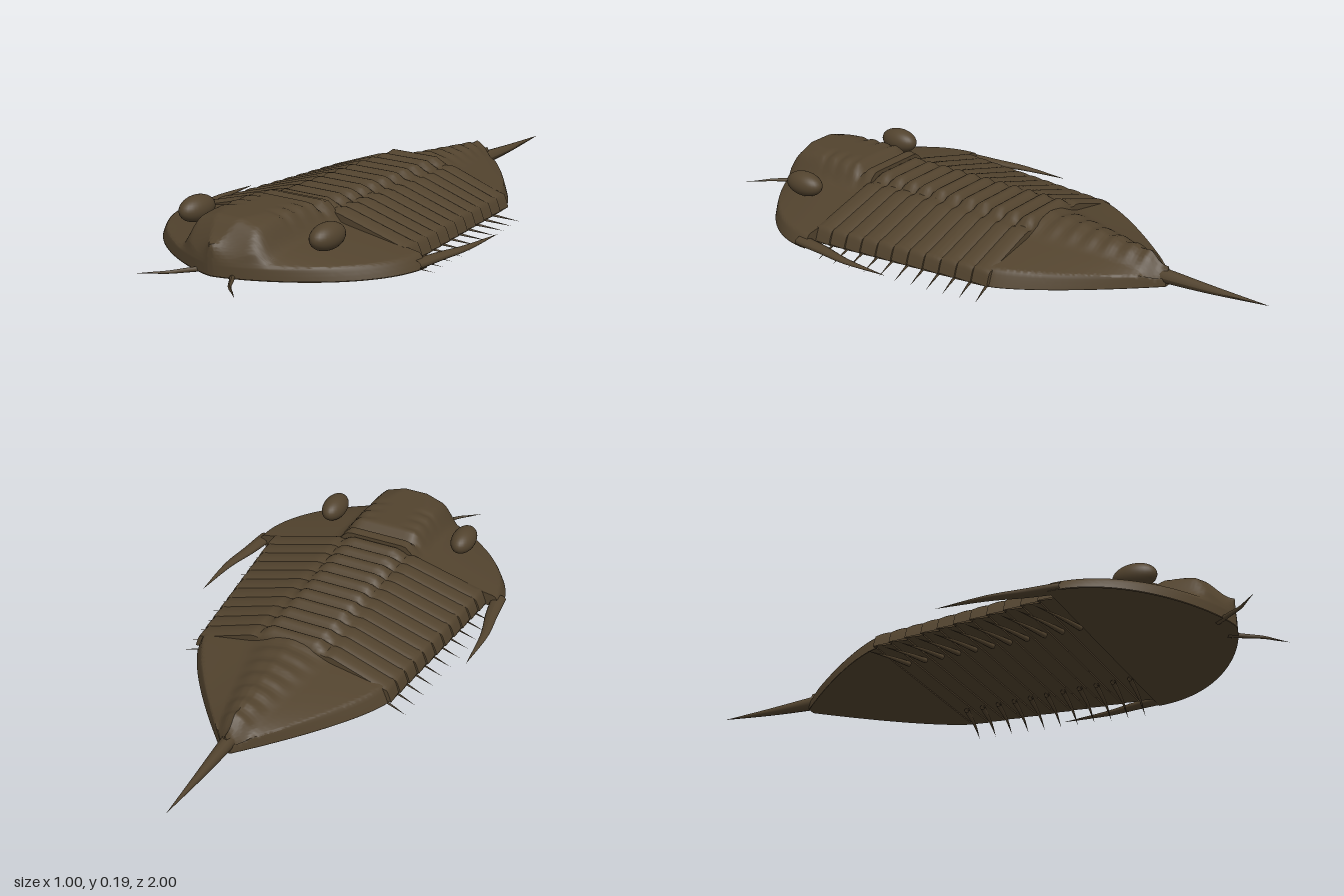
import * as THREE from 'three';
import { mergeGeometries, toCreasedNormals } from 'three/addons/utils/BufferGeometryUtils.js';

const shellBrown = new THREE.MeshStandardMaterial({ color: 0x52432e, side: THREE.DoubleSide });
shellBrown.name = 'shellBrown';

const { lerp, smoothstep, clamp } = THREE.MathUtils;
// Smooth fall from 1 (below a) to 0 (above b)
const fall = (x, a, b) => 1 - smoothstep(x, a, b);

function part(name, geometry, parent) {
  const mesh = new THREE.Mesh(geometry, shellBrown);
  mesh.name = name;
  parent.add(mesh);
  return mesh;
}

// Closed plate: rule(s, v) gives the top as [x, y, z], s running -1..1 across and
// v 0..1 front to back; base(v) gives the height of the underside
function plate(columns, rows, rule, base) {
  const sheet = (mirror, under) => {
    const geo = new THREE.PlaneGeometry(2, 2, columns, rows + 2);
    const p = geo.attributes.position;
    for (let i = 0; i < p.count; i++) {
      const s = mirror * Math.sin(p.getX(i) * Math.PI / 2);
      const row = rows + 1 - Math.floor(i / (columns + 1));
      const v = clamp(row / rows, 0, 1);
      const [x, y, z] = rule(s, v);
      const wall = row < 0 || row > rows; // end rows drop to the underside
      p.setXYZ(i, x, under || wall ? base(v) : y, z);
    }
    return geo;
  };
  return toCreasedNormals(mergeGeometries([sheet(1, false), sheet(-1, true)]), 0.8);
}

// Curved tube that tapers to a point
function spike(points, radius, rows = 12, sides = 10, power = 1, flat = 1) {
  const curve = new THREE.CatmullRomCurve3(points.map(a => new THREE.Vector3(...a)));
  const geo = new THREE.TubeGeometry(curve, rows, radius, sides);
  const p = geo.attributes.position;
  const v = new THREE.Vector3();
  for (let i = 0; i < p.count; i++) {
    const t = Math.floor(i / (sides + 1)) / rows;
    const c = curve.getPointAt(t);
    v.fromBufferAttribute(p, i).sub(c).multiplyScalar(1 - t ** power);
    v.y *= flat;
    v.add(c);
    p.setXYZ(i, v.x, v.y, v.z);
  }
  geo.computeVertexNormals();
  return geo;
}

// Head shield with raised central lobe
function headRule(s, v) {
  const q = 1 - v ** 1.6, z = 0.455 + 0.43 * q;
  const w = 0.472 * (1 - q * q) ** 0.75, a = Math.abs(s), x = w * s, ax = Math.abs(x);
  let y = lerp(0.13, 0.075, Math.max(0, (a - 0.2) / 0.74));
  if (a > 0.94) y = lerp(0.075, 0.034, ((a - 0.94) / 0.06) ** 1.5);
  let lobe = 0.064 * fall(ax, 0.105, 0.17) * fall(z, 0.79, 0.88);
  // Side furrows and the groove in front of the neck ring
  for (const f of [0.565, 0.62, 0.675])
    lobe -= 0.007 * Math.exp(-(((z - f) / 0.013) ** 2)) * smoothstep(ax, 0.04, 0.09) * fall(ax, 0.11, 0.15);
  lobe -= 0.03 * Math.exp(-(((z - 0.51) / 0.018) ** 2)) * fall(ax, 0.1, 0.16);
  lobe -= 0.014 * fall(z, 0.46, 0.5) * fall(ax, 0.1, 0.16);
  return [x, y + lobe * fall(a, 0.8, 0.95), z];
}

const SEGMENTS = 11, PITCH = 0.06;
const bodyWidth = z => 0.352 + 0.105 * (z + 0.2);

// One body ring: axial bump, groove, sloping side plates, turned-down edge
function ringRule(z0) {
  return (s, v) => {
    const z = z0 + 0.004 - 0.067 * v;
    const w = bodyWidth(z0 - 0.03), a = Math.abs(s), x = w * s, ax = Math.abs(x);
    const arch = Math.sin(Math.PI * v) ** 0.7;
    const axis = fall(ax, 0.085, 0.12);
    let y = lerp(0.16, 0.088, Math.max(0, (ax - 0.13) / (0.95 * w - 0.13)));
    if (a > 0.95) y = lerp(0.088, 0.04, ((a - 0.95) / 0.05) ** 1.3);
    y += axis * 0.019 - 0.007 * Math.exp(-(((ax - 0.12) / 0.015) ** 2));
    y -= (1 - arch) * (0.008 + 0.022 * axis) * fall(a, 0.9, 1);
    return [x, y, z];
  };
}

// Tail shield narrowing to the tail spine
function tailRule(s, v) {
  const z = -0.195 - 0.45 * v;
  const w = 0.33 * (1 - v ** 1.3) + 0.016, a = Math.abs(s), x = w * s, ax = Math.abs(x);
  const axisWidth = lerp(0.1, 0.03, v);
  const axis = fall(ax, axisWidth * 0.5, axisWidth * 1.5);
  let y = lerp(0.152, 0.115, v) - a * lerp(0.065, 0.045, v);
  if (a > 0.93) y = lerp(y, 0.036, ((a - 0.93) / 0.07) ** 1.3);
  y += axis * (0.016 + 0.0035 * Math.cos(v * Math.PI * 14)) * fall(a, 0.75, 0.95);
  y -= 0.035 * smoothstep(v, 0.82, 1) * fall(a, 0.8, 1);
  return [x, y, z];
}

export function createModel() {
  const model = new THREE.Group();
  model.name = 'trilobite';

  part('headShield', plate(80, 60, headRule, () => 0.032), model);

  const thorax = new THREE.Group();
  thorax.name = 'thorax';
  model.add(thorax);
  for (let i = 0; i < SEGMENTS; i++)
    part('bodyRing', plate(64, 8, ringRule(0.46 - i * PITCH), v => 0.034 + 0.006 * v), thorax);

  part('tailShield', plate(64, 70, tailRule, () => 0.035), model);
  part('tailSpine', spike([[0, 0.064, -0.61], [0, 0.064, -0.8], [0, 0.069, -1]], 0.024, 16, 12, 1.15), model);

  for (const side of [1, -1]) {
    const prefix = side > 0 ? 'left' : 'right';

    const eye = part(prefix + 'Eye', new THREE.SphereGeometry(1, 28, 18), model);
    eye.scale.set(0.042, 0.042, 0.072);
    eye.position.set(side * 0.252, 0.14, 0.65);

    // Cheek spine sweeping back from the head corner
    part(prefix + 'CheekSpine', spike([
      [side * 0.452, 0.046, 0.49], [side * 0.467, 0.046, 0.38],
      [side * 0.487, 0.046, 0.27], [side * 0.493, 0.046, 0.09],
    ], 0.025, 20, 12, 1.4, 0.6), model);

    // Antenna with an elbow
    part(prefix + 'Antenna', spike([
      [side * 0.05, 0.036, 0.84], [side * 0.085, 0.036, 0.89], [side * 0.118, 0.036, 0.937],
      [side * 0.152, 0.036, 0.967], [side * 0.188, 0.036, 1],
    ], 0.009, 16, 8, 1.4), model);

    // Slender spines under the side plates
    for (let i = 0; i < SEGMENTS; i++) {
      const z = 0.45 - i * PITCH, tip = bodyWidth(z) + 0.048;
      part(prefix + 'SideSpine', spike([
        [side * 0.21, 0.028, z], [side * (0.21 + tip) / 2, 0.015, z - 0.018], [side * tip, 0.001, z - 0.045],
      ], 0.009, 8, 8, 1.2), thorax);
    }
  }
  return model;
}
